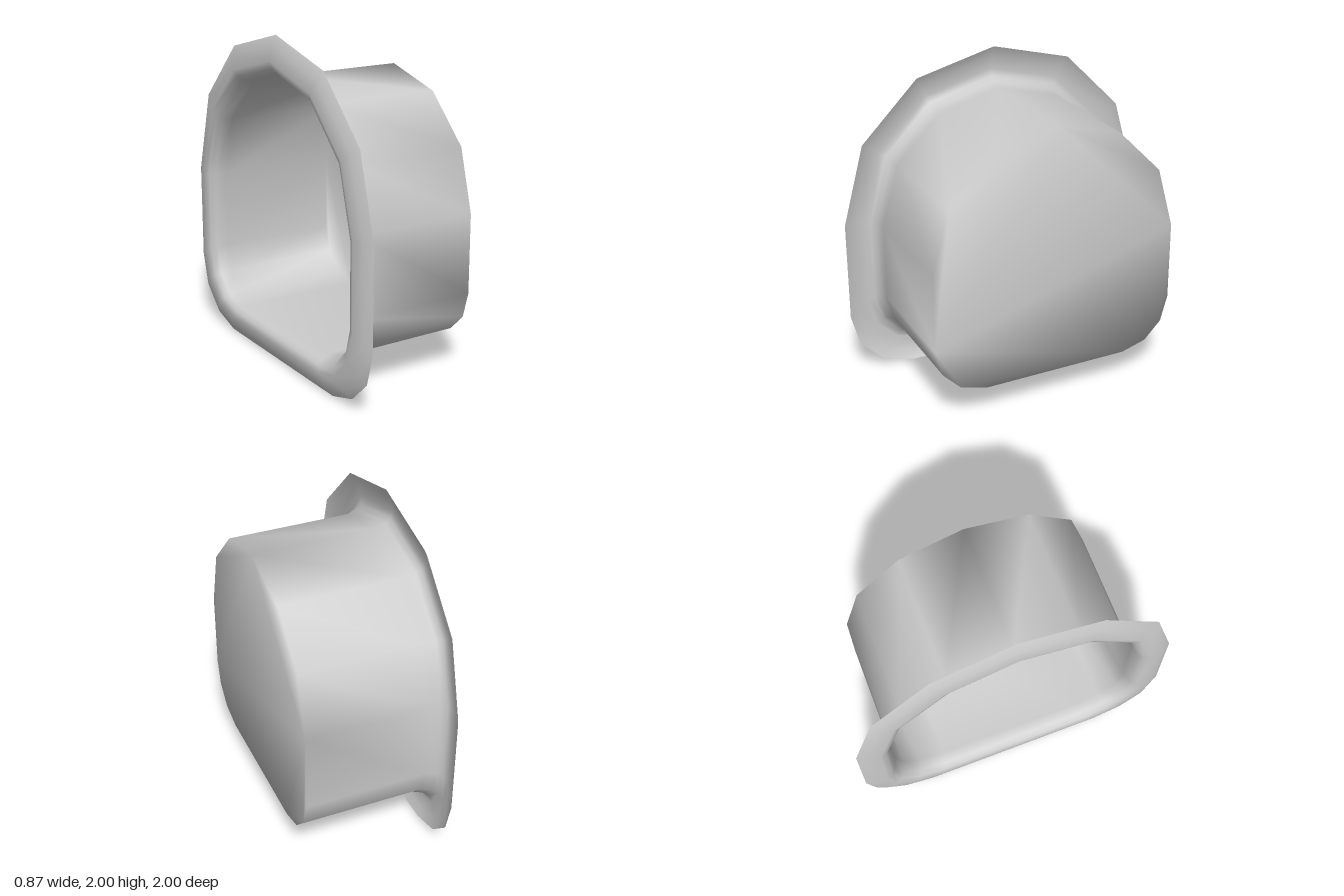
import * as THREE from 'three';

// Half contours as [z, y], from the crown down to the base: housing wall and flange edge
const WALL = [[0, 1.76], [0.395, 1.655], [0.675, 1.375], [0.78, 1.0],
  [0.78, 0.515], [0.735, 0.355], [0.625, 0.245], [0.465, 0.2]];
const EDGE = [[0, 2], [0.505, 1.87], [0.865, 1.51], [1, 1.02],
  [1, 0.4], [0.945, 0.2], [0.8, 0.06], [0.6, 0]];

// Stations along the depth: [x, blend from wall contour to flange edge]
const STATIONS = [[0.435, 0], [-0.325, 0], [-0.39, 0.09], [-0.422, 0.2],
  [-0.435, 0.38], [-0.42, 0.75], [-0.39, 1]];

// Blended closed contour, mirrored across z = 0
function contour(t) {
  const half = WALL.map(([z, y], i) => [
    THREE.MathUtils.lerp(z, EDGE[i][0], t),
    THREE.MathUtils.lerp(y, EDGE[i][1], t)]);
  const mirrored = half.slice(1).reverse().map(([z, y]) => [-z, y]);
  return half.concat(mirrored);
}

// Thin smooth shell through the stations, closed by a flat cap at the first one
function shellGeometry() {
  const positions = [], indices = [];
  const n = WALL.length * 2 - 1;
  STATIONS.forEach(([x, t], s) => {
    contour(t).forEach(([z, y]) => positions.push(x, y, z));
    if (s === 0) return;
    for (let j = 0; j < n; j++) {
      const k = (j + 1) % n, a = (s - 1) * n, b = s * n;
      indices.push(a + j, b + j, a + k, b + j, b + k, a + k);
    }
  });
  const outline = contour(0).map(([z, y]) => new THREE.Vector2(-z, y));
  THREE.ShapeUtils.triangulateShape(outline, []).forEach((f) => indices.push(...f));

  const geometry = new THREE.BufferGeometry();
  geometry.setAttribute('position', new THREE.Float32BufferAttribute(positions, 3));
  geometry.setIndex(indices);
  geometry.computeVertexNormals();
  return geometry;
}

export function createModel() {
  const group = new THREE.Group();
  group.name = 'flangedHousing';
  // Cup with a rolled flange round its open end
  const material = new THREE.MeshStandardMaterial({ color: 0xcccccc, side: THREE.DoubleSide });
  const shell = new THREE.Mesh(shellGeometry(), material);
  shell.name = 'housingShell';
  group.add(shell);
  return group;
}
